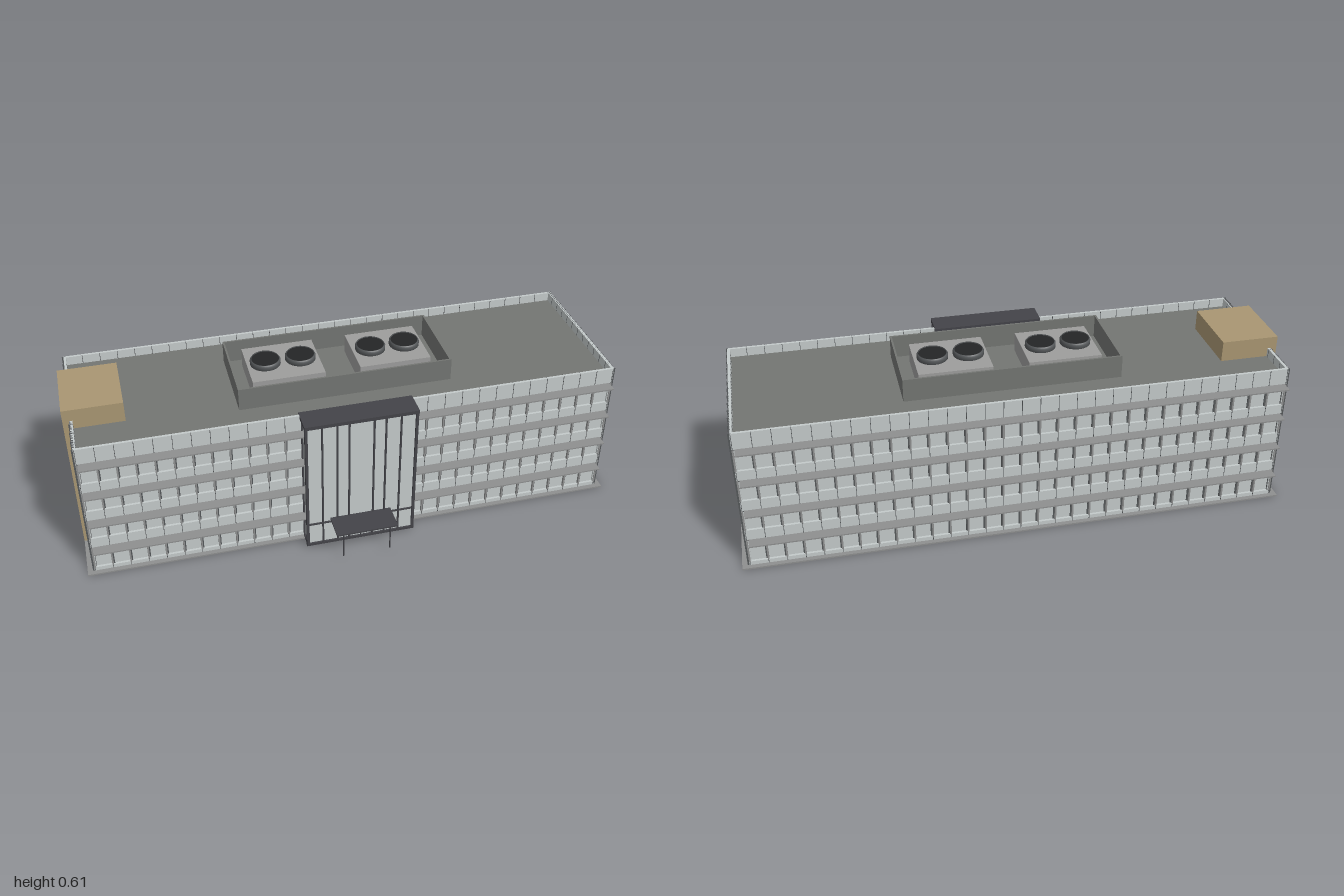
import * as THREE from 'three';

const mat = (name, color, side = THREE.FrontSide) => {
  const m = new THREE.MeshStandardMaterial({ color, side });
  m.name = name;
  return m;
};

export function createModel() {
  const glass = mat('pale glass', 0xc4caca);
  const metal = mat('grey metal', 0x8e8f8f);
  const mullionMat = mat('dark mullion', 0x55585a);
  const roofMat = mat('roof grey', 0x737572);
  const dark = mat('charcoal frame', 0x434348);
  const tan = mat('tan cladding', 0xa99672);
  const unitMat = mat('light unit grey', 0x9d9d9c);
  const black = mat('fan black', 0x242526);

  const model = new THREE.Group();
  model.name = 'officeBuilding';
  const group = (name) => {
    const g = new THREE.Group();
    g.name = name;
    model.add(g);
    return g;
  };
  // Box given by its limits on each axis
  const box = (parent, name, m, x0, x1, y0, y1, z0, z1) => {
    const mesh = new THREE.Mesh(new THREE.BoxGeometry(x1 - x0, y1 - y0, z1 - z0), m);
    mesh.position.set((x0 + x1) / 2, (y0 + y1) / 2, (z0 + z1) / 2);
    mesh.name = name;
    parent.add(mesh);
    return mesh;
  };

  const HX = 0.975, ZC = -0.06, HZ = 0.295, TOP = 0.553, ROOF = 0.52;
  const spandrels = [[0.006, 0.021], [0.115, 0.157], [0.24, 0.2815], [0.365, 0.404], [0.49, TOP]];

  // Ground slab, glazed core and roof deck
  box(model, 'groundSlab', metal, -1, 1, 0, 0.006, -0.372, 0.253);
  box(model, 'glazedCore', glass, -0.968, 0.968, 0.006, ROOF - 0.004, ZC - HZ + 0.009, ZC + HZ - 0.009);
  box(model, 'roofDeck', roofMat, -0.967, 0.967, ROOF - 0.004, ROOF, ZC - HZ + 0.008, ZC + HZ - 0.008);

  // Long facades: spandrel bands, recessed windows with fins, sunshades
  for (const s of [1, -1]) {
    const facade = group(s > 0 ? 'frontFacade' : 'backFacade');
    const face = ZC + s * HZ;
    const slab = (name, m, x0, x1, y0, y1, a, b) =>
      box(facade, name, m, x0, x1, y0, y1, Math.min(face + s * a, face + s * b), Math.max(face + s * a, face + s * b));
    for (const [y0, y1] of spandrels) slab('spandrel', glass, -HX, HX, y0, y1, -0.01, 0);
    const n = 30;
    for (let i = 0; i <= n; i++) {
      const x = -0.972 + (1.944 * i) / n;
      spandrels.forEach(([y0, y1], k) => {
        slab('panelJoint', mullionMat, x - 0.001, x + 0.001, y0, y1, -0.002, 0.0008);
        if (k < 4) slab('windowFin', metal, x - 0.003, x + 0.003, y1, spandrels[k + 1][0], -0.01, 0.001);
        if (k < 4) slab('windowFrame', mullionMat, x + 0.003, x + 0.0075, y1, spandrels[k + 1][0], -0.01, -0.006);
      });
      slab('parapetJoint', mullionMat, x - 0.001, x + 0.001, ROOF, TOP, -0.0108, -0.009);
    }
    for (const [y0] of spandrels.slice(1)) {
      slab('sunshade', metal, -0.968, 0.965, y0 - 0.003, y0 + 0.002, 0, 0.041);
      slab('windowHead', mullionMat, -HX, HX, y0 - 0.002, y0 + 0.0005, -0.01, 0.0008);
    }
  }

  // End walls: flush curtain wall with a grid of slim mullions
  for (const s of [1, -1]) {
    const end = group(s > 0 ? 'leftEndWall' : 'rightEndWall');
    const slab = (name, m, a, b, y0, y1, z0, z1) =>
      box(end, name, m, Math.min(s * a, s * b), Math.max(s * a, s * b), y0, y1, z0, z1);
    slab('curtainWall', glass, 0.966, 0.9765, 0.006, TOP, ZC - HZ + 0.002, ZC + HZ - 0.002);
    for (let i = 0; i <= 12; i++) {
      const z = ZC - HZ + 0.003 + (i * (2 * HZ - 0.006)) / 12;
      slab('verticalMullion', mullionMat, 0.97, 0.981, 0.006, TOP, z - 0.0014, z + 0.0014);
      slab('parapetJoint', mullionMat, 0.9652, 0.967, ROOF, TOP, z - 0.001, z + 0.001);
    }
    for (const [y0, y1] of spandrels) {
      slab('floorLine', mullionMat, 0.97, 0.9775, y1 - 0.001, y1 + (y1 < TOP ? 0.001 : 0), ZC - HZ + 0.002, ZC + HZ - 0.002);
      slab('headLine', metal, 0.97, 0.9772, y0, y0 + 0.0012, ZC - HZ + 0.002, ZC + HZ - 0.002);
    }
  }

  // Stair tower on the right-hand end with its rooftop box
  const tower = group('stairTower');
  box(tower, 'towerShaft', tan, -1, -0.966, 0.006, 0.54, -0.195, 0.065);
  box(tower, 'towerHead', tan, -1, -0.788, ROOF, 0.597, -0.195, 0.065);
  box(tower, 'towerWindow', glass, -1.002, -0.998, 0.04, 0.51, -0.085, -0.045);
  for (const z of [-0.086, -0.044]) box(tower, 'windowJamb', mullionMat, -1.003, -0.998, 0.038, 0.512, z - 0.0015, z + 0.0015);
  for (let i = 0; i <= 8; i++) {
    const y = 0.04 + (0.47 * i) / 8;
    box(tower, 'windowBar', mullionMat, -1.003, -0.998, y - 0.0012, y + 0.0012, -0.085, -0.045);
  }

  // Entrance bay
  const entrance = group('entranceBay');
  const EX = 0.2, EZ = 0.3;
  box(entrance, 'bayGlass', glass, -EX + 0.003, EX - 0.003, 0.008, 0.542, 0.22, EZ - 0.004);
  box(entrance, 'bayPlinth', dark, -EX - 0.003, EX + 0.003, 0.006, 0.016, 0.236, EZ + 0.003);
  box(entrance, 'bayRoof', dark, -0.207, 0.205, 0.541, 0.5545, 0.214, 0.309);
  for (const s of [1, -1]) {
    box(entrance, 'cornerPost', dark, s * EX - 0.005, s * EX + 0.005, 0.006, 0.542, EZ - 0.008, EZ + 0.003);
    box(entrance, 'wallPost', dark, s * EX - 0.003, s * EX + 0.003, 0.006, 0.542, 0.233, 0.239);
    box(entrance, 'sideRail', dark, s * EX - 0.004, s * EX + 0.002, 0.103, 0.107, 0.236, EZ);
    for (const x of [0.045, 0.088, 0.143])
      box(entrance, 'bayMullion', dark, s * x - 0.003, s * x + 0.003, 0.01, 0.542, EZ - 0.006, EZ + 0.002);
    box(entrance, 'doorJamb', dark, s * 0.043 - 0.003, s * 0.043 + 0.003, 0.01, 0.095, EZ - 0.006, EZ + 0.003);
  }
  box(entrance, 'bayRail', dark, -EX, EX, 0.103, 0.108, EZ - 0.006, EZ + 0.002);
  box(entrance, 'doorHead', dark, -0.045, 0.045, 0.09, 0.095, EZ - 0.006, EZ + 0.003);
  box(entrance, 'doorMeeting', dark, -0.0015, 0.0015, 0.01, 0.092, EZ - 0.006, EZ + 0.002);

  // Entrance canopy on two slim posts
  const canopy = group('entranceCanopy');
  box(canopy, 'canopyRoof', dark, -0.115, 0.113, 0.115, 0.121, 0.296, 0.397);
  for (const s of [1, -1]) {
    const post = new THREE.Mesh(new THREE.CylinderGeometry(0.0025, 0.0025, 0.11, 10), dark);
    post.position.set(s * 0.088, 0.061, 0.384);
    post.name = 'canopyPost';
    canopy.add(post);
  }

  // Rooftop plant screen, open at the top
  const plant = group('roofPlant');
  const [x0, x1, z0, z1, t, h] = [-0.395, 0.39, -0.225, 0.102, 0.007, 0.605];
  box(plant, 'screenFront', roofMat, x0, x1, ROOF, h, z1 - t, z1);
  box(plant, 'screenBack', roofMat, x0, x1, ROOF, h, z0, z0 + t);
  box(plant, 'screenLeft', roofMat, x1 - t, x1, ROOF, h, z0 + t, z1 - t);
  box(plant, 'screenRight', roofMat, x0, x0 + t, ROOF, h, z0 + t, z1 - t);

  // Cooling units, each with two round fans
  for (const cx of [-0.2, 0.195]) {
    box(plant, 'coolingUnit', unitMat, cx - 0.133, cx + 0.133, ROOF, 0.592, -0.178, 0.049);
    for (const s of [1, -1]) {
      const profile = [[0.05, 0.592], [0.056, 0.592], [0.056, 0.606], [0.052, 0.612], [0.05, 0.612], [0.05, 0.592]];
      const ring = new THREE.Mesh(
        new THREE.LatheGeometry(profile.map(([r, y]) => new THREE.Vector2(r, y)), 32), mullionMat);
      ring.name = 'fanRing';
      const fan = new THREE.Mesh(new THREE.CylinderGeometry(0.0505, 0.0505, 0.017, 32), black);
      fan.name = 'fanDisc';
      fan.position.y = 0.6005;
      for (const m of [ring, fan]) {
        m.position.x = cx + s * 0.065;
        m.position.z = -0.065;
        plant.add(m);
      }
    }
  }
  return model;
}
